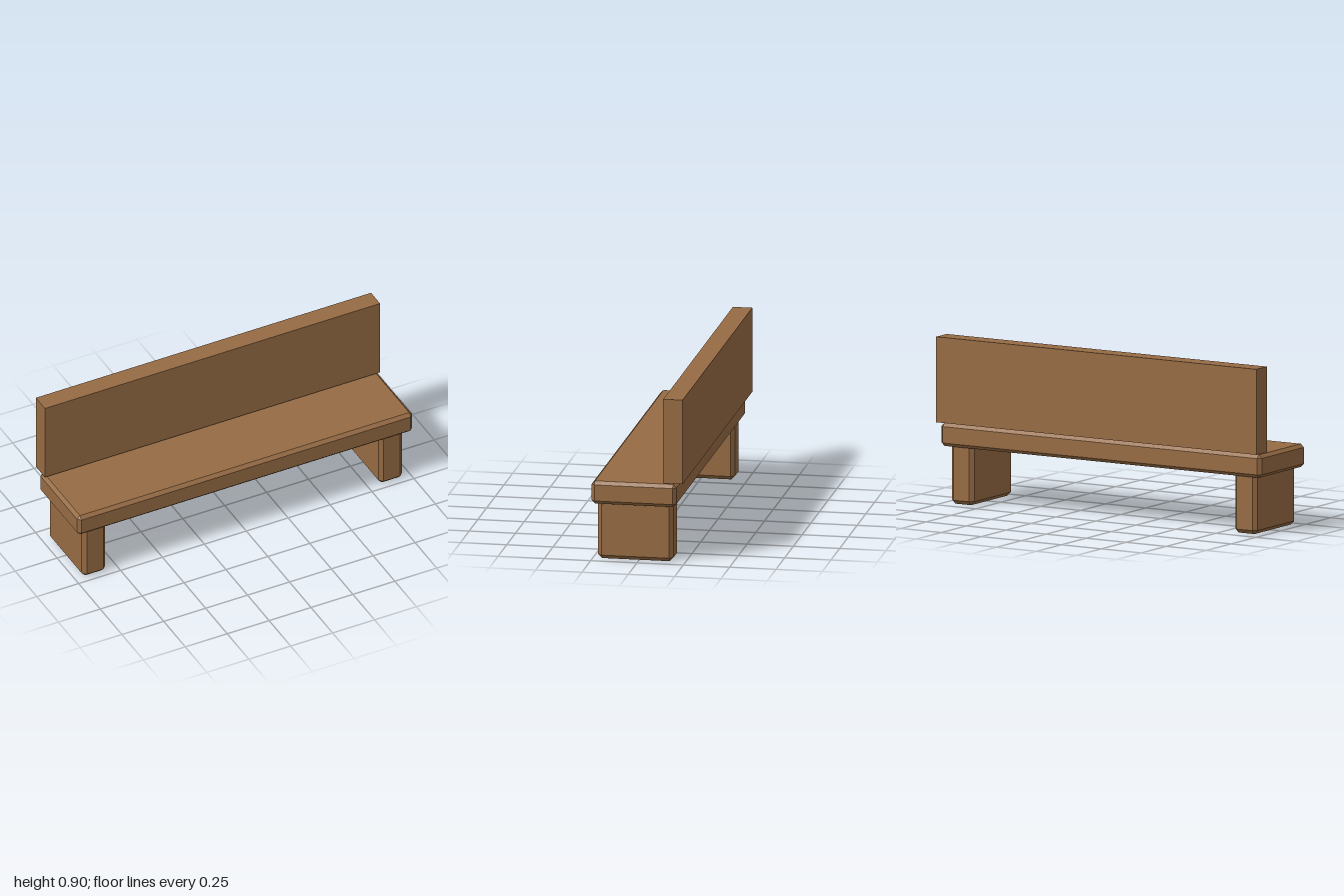
import * as THREE from 'three';
import { ConvexGeometry } from 'three/addons/geometries/ConvexGeometry.js';

// Box with every edge cut at 45 degrees by c
function chamferedBox(w, h, d, c) {
  const points = [];
  for (const sx of [-1, 1]) for (const sy of [-1, 1]) for (const sz of [-1, 1]) {
    const x = w / 2, y = h / 2, z = d / 2;
    points.push(
      new THREE.Vector3(sx * x, sy * (y - c), sz * (z - c)),
      new THREE.Vector3(sx * (x - c), sy * y, sz * (z - c)),
      new THREE.Vector3(sx * (x - c), sy * (y - c), sz * z),
    );
  }
  return new ConvexGeometry(points);
}

export function createModel() {
  const bench = new THREE.Group();
  bench.name = 'bench';
  const wood = new THREE.MeshStandardMaterial({ color: 0x966b43 });
  wood.name = 'brown wood';

  const add = (name, geometry, x, y, z) => {
    const mesh = new THREE.Mesh(geometry, wood);
    mesh.name = name;
    mesh.position.set(x, y, z);
    bench.add(mesh);
  };

  // Seat plank with chamfered edges
  add('seat', chamferedBox(2, 0.124, 0.458, 0.018), 0, 0.372, 0.019);

  // Sharp-edged backrest, floating just above the seat
  add('backrest', new THREE.BoxGeometry(2, 0.46, 0.105), 0, 0.673, -0.194);

  // Slab legs, their tops sunk into the seat
  const leg = chamferedBox(0.14, 0.345, 0.407, 0.021);
  add('leftLeg', leg, 0.883, 0.1725, 0.019);
  add('rightLeg', leg, -0.887, 0.1725, 0.019);

  return bench;
}
